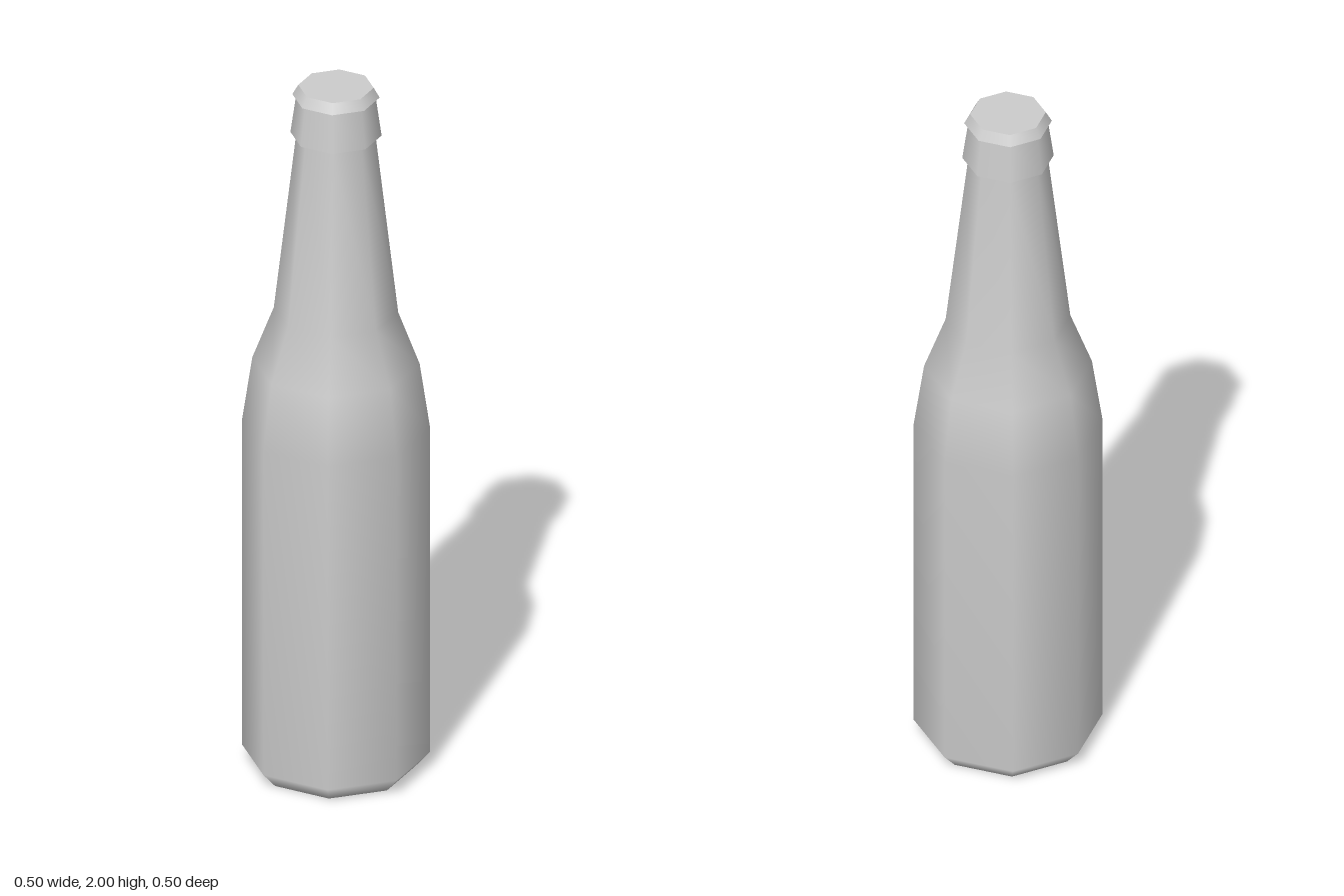
import * as THREE from 'three';

const SIDES = 8;

// Eight-sided lathe from [radius, height] pairs, listed from bottom to top
function turned(name, profile, material) {
  const points = profile.map(([r, y]) => new THREE.Vector2(r, y));
  const mesh = new THREE.Mesh(new THREE.LatheGeometry(points, SIDES), material);
  mesh.name = name;
  return mesh;
}

export function createModel() {
  const group = new THREE.Group();
  group.name = 'bottle';
  const glass = new THREE.MeshStandardMaterial({ color: 0xcccccc });

  group.add(
    // Base, straight wall, shoulder and tapering neck, smooth throughout
    turned('body', [
      [0, 0], [0.21, 0], [0.25, 0.045], [0.25, 1.0],
      [0.222, 1.19], [0.165, 1.34], [0.105, 1.86],
    ], glass),
    // Flared collar below the mouth, with a sharp lower ledge
    turned('collarLedge', [[0.105, 1.86], [0.121, 1.86]], glass),
    turned('collar', [[0.121, 1.86], [0.106, 1.968]], glass),
    // Chamfered lip and closed top
    turned('lipLedge', [[0.106, 1.968], [0.116, 1.972]], glass),
    turned('lip', [[0.116, 1.972], [0.1, 2]], glass),
    turned('mouth', [[0.1, 2], [0, 2]], glass),
  );
  return group;
}
